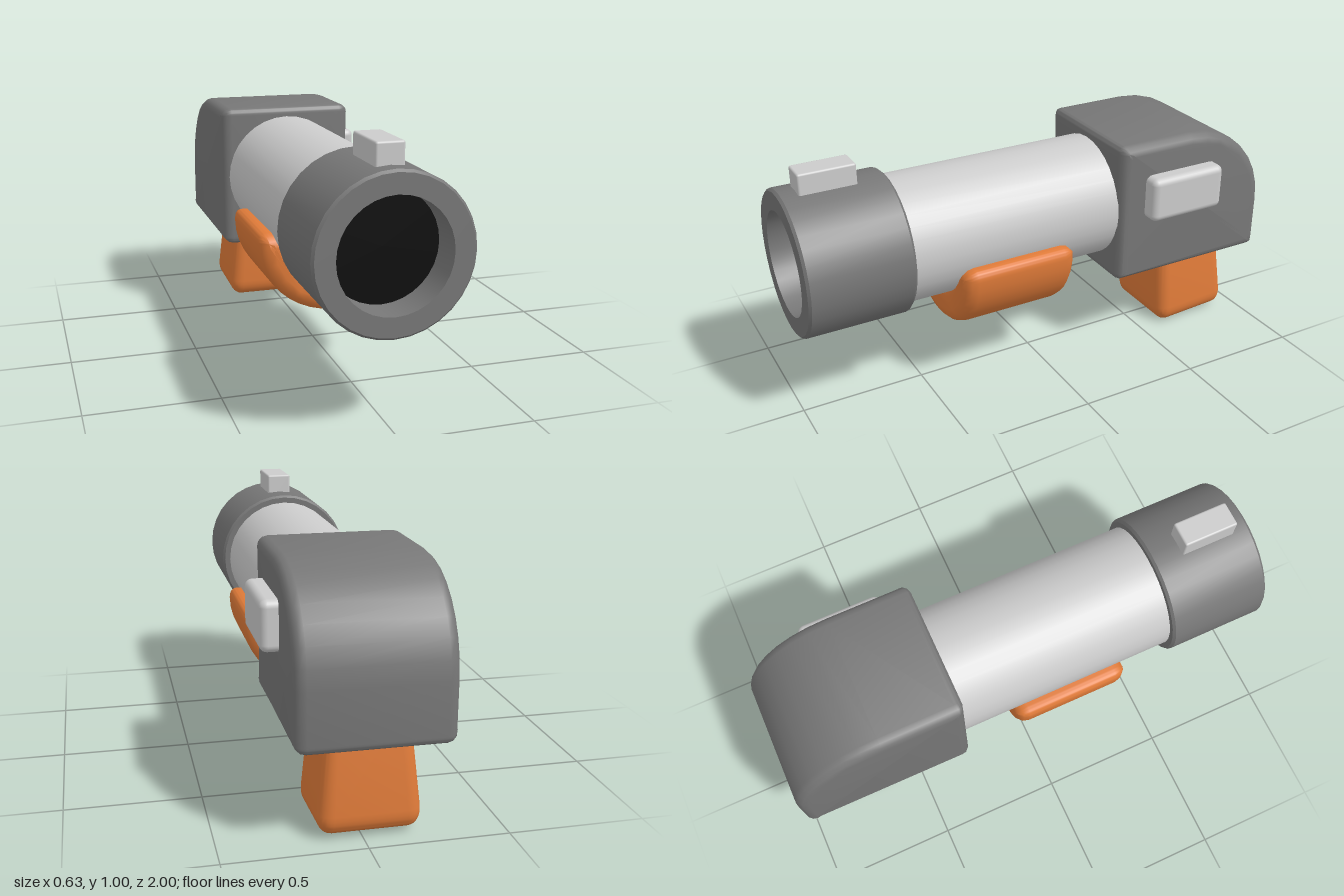
import * as THREE from 'three';
import { toCreasedNormals } from 'three/addons/utils/BufferGeometryUtils.js';
import { RoundedBoxGeometry } from 'three/addons/geometries/RoundedBoxGeometry.js';

const CX = -0.027; // barrel axis
const CY = 0.645;

export function createModel() {
  const group = new THREE.Group();
  const light = new THREE.MeshStandardMaterial({ color: 0xcccccc });
  const dark = new THREE.MeshStandardMaterial({ color: 0x777777 });
  const orange = new THREE.MeshStandardMaterial({ color: 0xe07b39 });
  const black = new THREE.MeshStandardMaterial({ color: 0x0c0c0c });

  const add = (name, geometry, material, x = 0, y = 0, z = 0) => {
    const mesh = new THREE.Mesh(geometry, material);
    mesh.name = name;
    mesh.position.set(x, y, z);
    group.add(mesh);
    return mesh;
  };
  // Extrusion whose rounded rim stays inside the outline and the given length
  const rounded = (shape, length, bevel, curveSegments) => {
    const g = new THREE.ExtrudeGeometry(shape, {
      depth: length - 2 * bevel, bevelThickness: bevel, bevelSize: bevel,
      bevelOffset: -bevel, bevelSegments: 3, curveSegments,
    });
    g.translate(0, 0, bevel - length / 2);
    return toCreasedNormals(g, 0.7);
  };

  // Barrel
  const barrel = new THREE.CylinderGeometry(0.252, 0.252, 1.0, 32);
  barrel.rotateX(Math.PI / 2);
  add('barrel', barrel, light, CX, CY, 0.16);

  // Muzzle collar with a recessed bore
  const collarProfile = [
    [0.2, 0], [0.275, 0], [0.284, 0.01], [0.284, 0.4], [0.275, 0.41],
    [0.203, 0.41], [0.203, 0.27],
  ].map(([r, h]) => new THREE.Vector2(r, h));
  const collar = new THREE.LatheGeometry(collarProfile, 32);
  collar.rotateX(Math.PI / 2);
  add('muzzleCollar', toCreasedNormals(collar, 0.5), dark, CX, CY, 0.59);
  add('bore', new THREE.CircleGeometry(0.204, 32), black, CX, CY, 0.87);

  // Front sight
  add('frontSight', new RoundedBoxGeometry(0.102, 0.14, 0.22, 2, 0.008), light, CX, 0.935, 0.82);

  // Receiver: side outline with a large rounded upper rear corner
  const side = new THREE.Shape();
  side.moveTo(0.31, 0.35);
  side.lineTo(0.97, 0.35);
  side.quadraticCurveTo(1, 0.35, 1, 0.38);
  side.lineTo(1, 0.57);
  side.bezierCurveTo(1, 0.77, 0.84, 0.937, 0.62, 0.937);
  side.lineTo(0.32, 0.937);
  side.quadraticCurveTo(0.29, 0.937, 0.29, 0.907);
  side.lineTo(0.29, 0.38);
  side.quadraticCurveTo(0.29, 0.35, 0.31, 0.35);
  const receiver = rounded(side, 0.557, 0.04, 8);
  receiver.rotateY(Math.PI / 2);
  add('receiver', receiver, dark, CX);

  // Raised plate on one side of the receiver
  add('sidePlate', new RoundedBoxGeometry(0.126, 0.185, 0.34, 3, 0.028), light, 0.253, 0.712, -0.57);

  // Foregrip: crescent cradling the underside of the barrel
  const cradle = new THREE.Shape();
  cradle.moveTo(-0.255, 0.572);
  cradle.quadraticCurveTo(-0.291, 0.572, -0.291, 0.53);
  cradle.bezierCurveTo(-0.291, 0.38, -0.16, 0.25, 0, 0.25);
  cradle.bezierCurveTo(0.16, 0.25, 0.291, 0.38, 0.291, 0.53);
  cradle.quadraticCurveTo(0.291, 0.572, 0.255, 0.572);
  cradle.lineTo(0.17, 0.572);
  cradle.bezierCurveTo(0.15, 0.47, 0.09, 0.42, 0, 0.42);
  cradle.bezierCurveTo(-0.09, 0.42, -0.15, 0.47, -0.17, 0.572);
  add('foregrip', rounded(cradle, 0.48, 0.05, 10), orange, CX, 0, 0.16);

  // Rear handle: rounded box, flared towards the bottom
  const handle = new RoundedBoxGeometry(2, 2, 2, 4, 0.3);
  const p = handle.attributes.position;
  for (let i = 0; i < p.count; i++) {
    const y = (p.getY(i) + 1) * 0.24;
    const t = (1 - p.getZ(i)) / 2;
    const halfWidth = 0.18 - 0.1 * (y - 0.1);
    const depth = 0.355 - 0.12 * y;
    p.setXYZ(i, p.getX(i) * halfWidth, y + 0.02 * t, -0.588 - t * depth - 0.01 * y);
  }
  add('handle', toCreasedNormals(handle, 0.7), orange, CX);

  return group;
}
